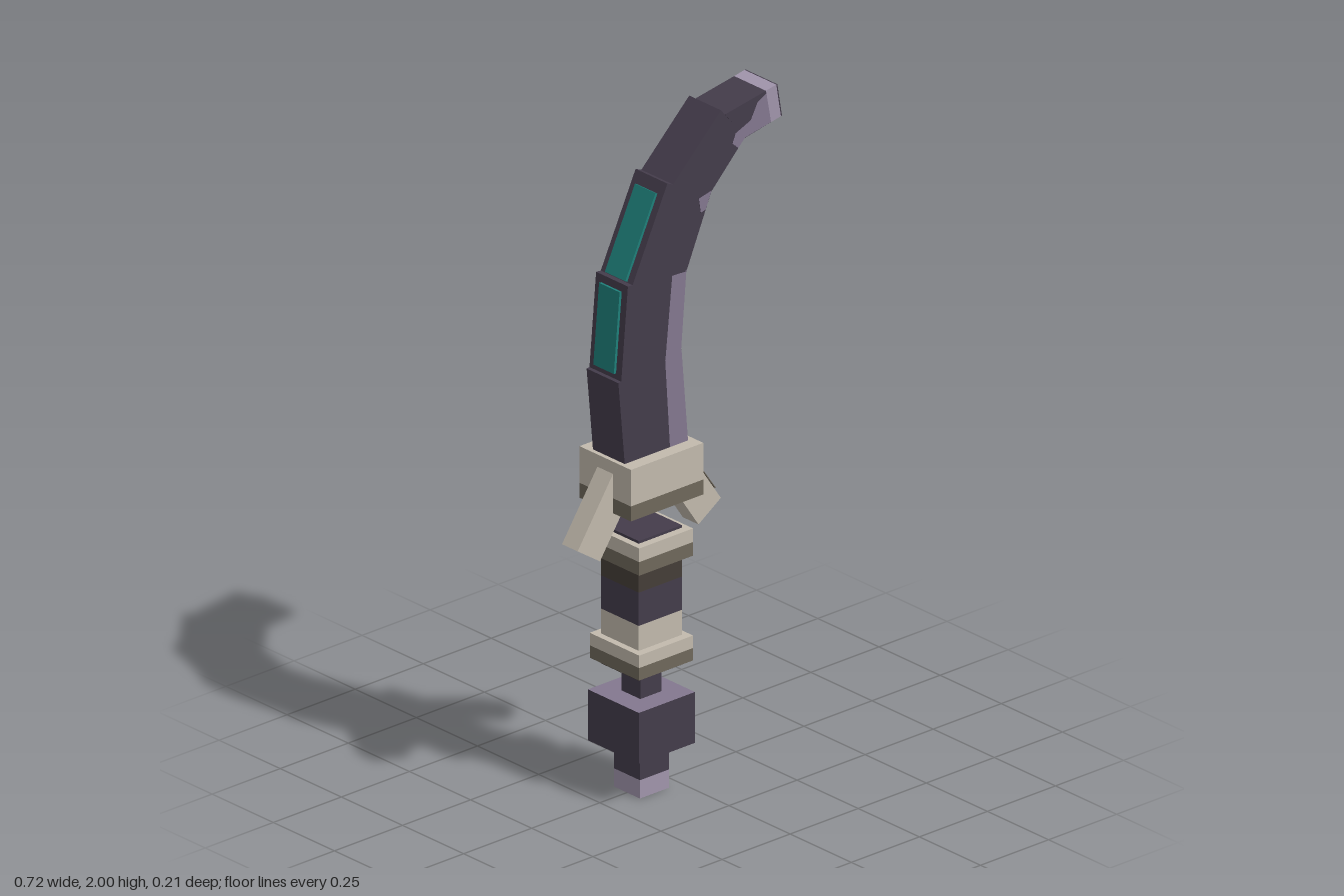
import * as THREE from 'three';

const mat = (name, color, double) => {
  const m = new THREE.MeshStandardMaterial({ color });
  m.name = name;
  if (double) m.side = THREE.DoubleSide;
  return m;
};

export function createModel() {
  const dark = mat('dark violet', 0x443c4b);
  const mauve = mat('mauve', 0x83778f);
  const lilac = mat('lilac', 0xa195ac);
  const bone = mat('bone', 0xc2baad);
  const shade = mat('brown bone', 0x6f685b);
  const brown = mat('dark brown', 0x453e38);
  const teal = mat('teal', 0x1f807a);

  const model = new THREE.Group();
  model.name = 'curvedSword';
  const CX = -0.097; // axis of the hilt

  // Flat outline in x/y given a thickness in z; faces and rim may differ in colour
  const prism = (name, pts, halfZ, face, rim = face) => {
    const shape = new THREE.Shape(pts.map(([x, y]) => new THREE.Vector2(x, y)));
    const geo = new THREE.ExtrudeGeometry(shape, { depth: halfZ * 2, bevelEnabled: false });
    geo.translate(0, 0, -halfZ);
    const mesh = new THREE.Mesh(geo, [face, rim]);
    mesh.name = name;
    model.add(mesh);
    return mesh;
  };

  // Upright block on the hilt axis, from y0 to y1
  const block = (name, halfX, halfZ, y0, y1, side, top = side, bottom = side) => {
    const geo = new THREE.BoxGeometry(halfX * 2, y1 - y0, halfZ * 2);
    const mesh = new THREE.Mesh(geo, [side, side, top, bottom, side, side]);
    mesh.position.set(CX, (y0 + y1) / 2, 0);
    mesh.name = name;
    model.add(mesh);
  };

  const lerp = (a, b, t) => [a[0] + (b[0] - a[0]) * t, a[1] + (b[1] - a[1]) * t];

  // Blade segments: lower left, lower right, upper right, upper left
  const BLADE = 0.065;
  const segments = [
    [[-0.212, 0.98], [0.02, 0.98], [-0.008, 1.31], [-0.24, 1.28]],
    [[-0.23, 1.275], [-0.01, 1.305], [0.01, 1.545], [-0.205, 1.56]],
    [[-0.192, 1.55], [0.01, 1.54], [0.103, 1.755], [-0.06, 1.825]],
    [[-0.045, 1.81], [0.1, 1.75], [0.225, 1.877], [0.137, 1.985]],
  ];
  segments.forEach(([a, b, c, d], i) => {
    if (i < 2) {
      // The lower two carry a pale cutting edge on both faces
      const t = i ? 0.76 : 0.74;
      const e = lerp(a, b, i ? 0.74 : 0.71), f = lerp(d, c, t);
      prism('bladeSegment' + (i + 1), [a, e, f, d], BLADE, dark);
      prism('cuttingEdge' + (i + 1), [e, b, c, f], BLADE, mauve, dark);
    } else {
      prism('bladeSegment' + (i + 1), [a, b, c, d], BLADE, dark);
    }
  });

  // Hooked tip with a pale end band and a dark end face
  prism('bladeHook', [[0.152, 1.968], [0.225, 1.875], [0.32, 1.893], [0.302, 1.993]], BLADE, dark);
  prism('tipBand', [[0.302, 1.993], [0.32, 1.893], [0.357, 1.9], [0.34, 2.0]], BLADE, lilac);
  prism('tipEnd', [[0.34, 2.0], [0.357, 1.9], [0.361, 1.901], [0.344, 2.0]], BLADE, dark);

  // Worn patches on the blade faces
  prism('hookPatch', [[0.178, 1.872], [0.19, 1.9], [0.245, 1.922], [0.27, 1.968],
    [0.303, 1.985], [0.32, 1.894], [0.225, 1.877], [0.2, 1.853]], BLADE + 0.001, mauve, dark);
  prism('edgePatch', [[0.055, 1.745], [0.101, 1.755], [0.08, 1.705], [0.062, 1.7]], BLADE + 0.001, mauve, dark);

  // Thin glowing plates let into the back of the blade
  [[1, 0.08, 0.92], [2, 0.04, 0.88]].forEach(([i, t0, t1], n) => {
    const [a, , , d] = segments[i];
    const p = lerp(a, d, t0), q = lerp(a, d, t1);
    const len = Math.hypot(q[0] - p[0], q[1] - p[1]);
    const nx = -(q[1] - p[1]) / len * 0.008, ny = (q[0] - p[0]) / len * 0.008;
    prism('spinePlate' + (n + 1), [p, q, [q[0] + nx, q[1] + ny], [p[0] + nx, p[1] + ny]], 0.042, teal);
  });

  // Guard with two swept wings
  block('guardUpper', 0.133, 0.105, 0.92, 1.03, bone);
  block('guardLower', 0.133, 0.105, 0.875, 0.92, shade);
  const wing = [[-0.36, 0.8], [-0.278, 0.745], [-0.14, 0.95], [-0.222, 1.005]];
  prism('rightWing', wing, 0.032, bone);
  prism('leftWing', wing.map(([x, y]) => [2 * CX - x, y]).reverse(), 0.032, bone);
  // Dark outer face of the left wing
  prism('leftWingFace', [[0.146, 0.835], [0.148, 0.836], [0.03, 1.006], [0.028, 1.005]], 0.032, shade);

  // Grip in coloured bands
  [['gripFoot', 0.37, 0.385, brown], ['gripWrapLower', 0.385, 0.535, bone],
    ['gripMiddle', 0.535, 0.635, dark], ['gripWrapUpper', 0.635, 0.7, brown],
    ['gripTop', 0.7, 0.79, dark]].forEach(([n, y0, y1, m]) => block(n, 0.079, 0.077, y0, y1, m));

  // Grip collars, darker on the underside half
  [['lowerCollar', 0.385, 0.46], ['upperCollar', 0.7, 0.782]].forEach(([n, y0, y1]) => {
    const mid = (y0 + y1) / 2;
    block(n + 'Top', 0.099, 0.101, mid, y1, bone);
    block(n + 'Base', 0.099, 0.101, y0, mid, shade);
  });

  // Neck, pommel and end stud
  block('neck', 0.039, 0.039, 0.285, 0.375, dark);
  block('pommel', 0.103, 0.104, 0.137, 0.29, dark, mauve, dark);
  block('studUpper', 0.053, 0.053, 0.055, 0.14, dark);
  block('studEnd', 0.053, 0.053, 0, 0.055, lilac, lilac, dark);

  return model;
}
